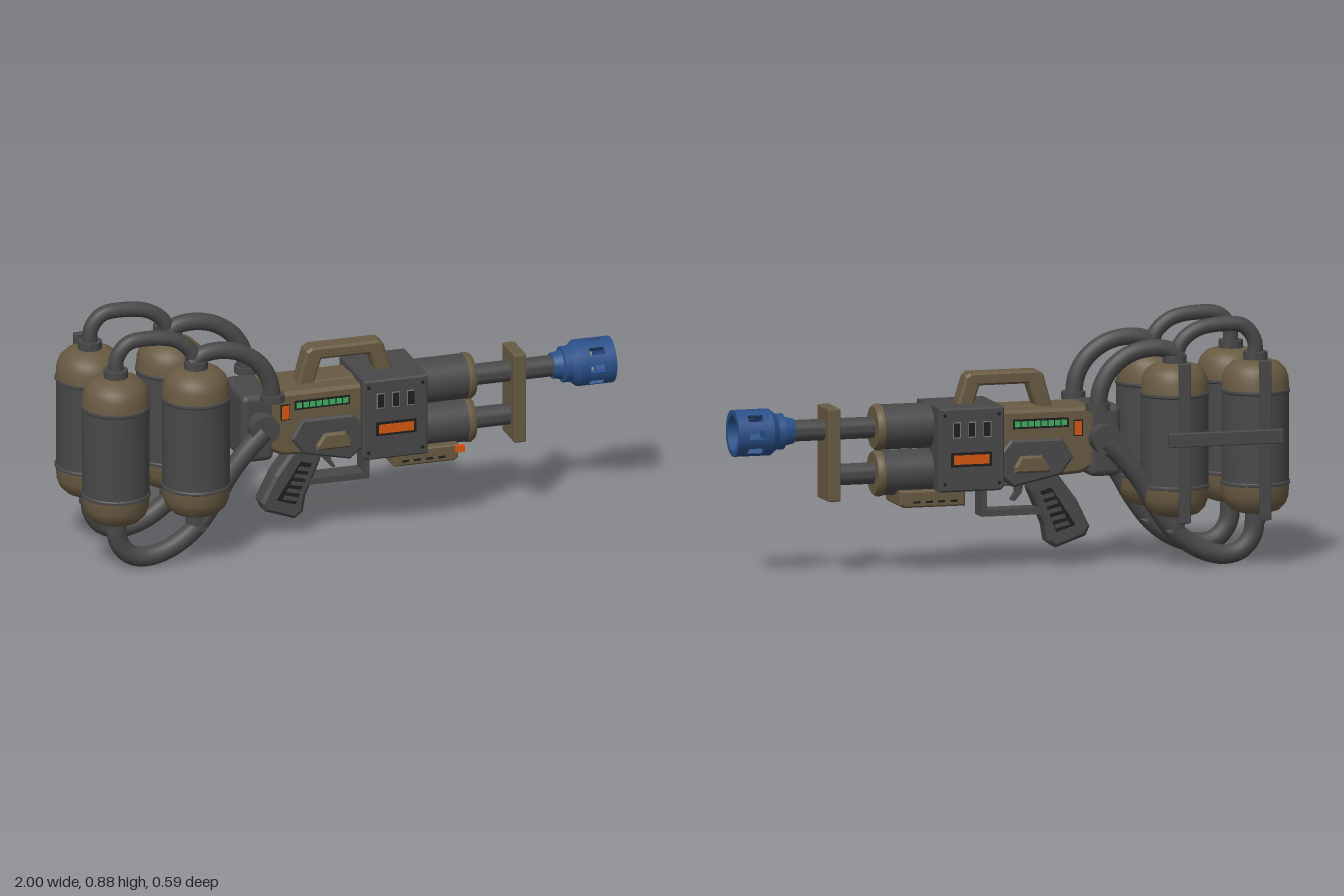
import * as THREE from 'three';
import { toCreasedNormals } from 'three/addons/utils/BufferGeometryUtils.js';
import { RoundedBoxGeometry } from 'three/addons/geometries/RoundedBoxGeometry.js';

const mat = (name, color) => Object.assign(new THREE.MeshStandardMaterial({ color }), { name });
const dark = mat('dark metal', 0x484848);
const brown = mat('brown casing', 0x685a42);
const blue = mat('blue nozzle', 0x2a5089);
const orange = mat('orange marking', 0xd4560f);
const green = mat('green light', 0x3fae63);
const black = mat('black recess', 0x1e1e1e);
const grey = mat('grey trim', 0x7a7a7a);

export function createModel() {
  const root = new THREE.Group();
  root.name = 'tankFedBlaster';
  const gun = new THREE.Group();
  gun.name = 'gun';
  gun.position.z = 0.02;
  root.add(gun);

  const add = (parent, name, geo, material, x = 0, y = 0, z = 0) => {
    const m = new THREE.Mesh(geo, material);
    m.name = name;
    m.position.set(x, y, z);
    parent.add(m);
    return m;
  };
  // Box given by its x and y limits, centre z and depth
  const box = (parent, name, material, x0, x1, y0, y1, z, d, round = 0) => add(parent, name,
    round ? new RoundedBoxGeometry(x1 - x0, y1 - y0, d, 2, round) : new THREE.BoxGeometry(x1 - x0, y1 - y0, d),
    material, (x0 + x1) / 2, (y0 + y1) / 2, z);
  // Side outline extruded symmetrically across z
  const slab = (name, material, pts, width, bevel = 0, hole = null) => {
    const v = (p) => p.map(([x, y]) => new THREE.Vector2(x, y));
    const shape = new THREE.Shape(v(pts));
    if (hole) shape.holes.push(new THREE.Path(v(hole)));
    const depth = width - 2 * bevel;
    const geo = new THREE.ExtrudeGeometry(shape, {
      depth, bevelEnabled: bevel > 0, bevelSize: bevel, bevelThickness: bevel, bevelOffset: -bevel, bevelSegments: 1,
    });
    return add(gun, name, geo.translate(0, 0, -depth / 2), material);
  };
  // Profile of [radius, height] points turned around an axis
  const turned = (parent, name, material, pts, x, y, z, alongX = false) => {
    const geo = new THREE.LatheGeometry(pts.map(([r, h]) => new THREE.Vector2(r, h)), 32);
    if (alongX) geo.rotateZ(-Math.PI / 2);
    return add(parent, name, toCreasedNormals(geo, 0.6), material, x, y, z);
  };
  const rod = (parent, name, material, r, h, x, y, z) =>
    turned(parent, name, material, [[0, -h / 2], [r, -h / 2], [r, h / 2], [0, h / 2]], x, y, z);
  const hose = (name, pts, r, z) => {
    const curve = new THREE.CatmullRomCurve3(pts.map(([x, y]) => new THREE.Vector3(x, y, z)));
    add(root, name, new THREE.TubeGeometry(curve, 48, r, 16), dark);
  };

  // Four tanks and their hoses, in a left and a right pair
  const cap = [[0, -0.109], [0.055, -0.107], [0.085, -0.097], [0.107, -0.075], [0.118, -0.045], [0.12, 0]];
  for (const z of [0.17, -0.13]) {
    for (const x of [-0.88, -0.583]) {
      turned(root, 'tankBottom', brown, cap, x, 0.29, z);
      turned(root, 'tankTop', brown, cap.map(([r, h]) => [r, -h]).reverse(), x, 0.62, z);
      turned(root, 'tankBody', dark, [[0.12, 0.285], [0.124, 0.287], [0.124, 0.295], [0.12, 0.299],
        [0.12, 0.611], [0.124, 0.615], [0.124, 0.623], [0.12, 0.625]], x, 0, z);
      rod(root, 'tankNeck', dark, 0.043, 0.04, x, 0.735, z);
      rod(root, 'tankOutlet', dark, 0.037, 0.05, x, 0.17, z);
    }
    hose('tankLinkHose', [[-0.88, 0.73], [-0.875, 0.8], [-0.835, 0.848], [-0.75, 0.857], [-0.66, 0.84],
      [-0.605, 0.795], [-0.585, 0.73]], 0.027, z);
    hose('upperHose', [[-0.6, 0.745], [-0.565, 0.772], [-0.5, 0.782], [-0.42, 0.765], [-0.35, 0.715],
      [-0.312, 0.65], [-0.3, 0.575]], 0.031, z);
    rod(root, 'upperHoseCollar', dark, 0.043, 0.026, -0.3, 0.582, z);
    hose('lowerHose', [[-0.88, 0.18], [-0.87, 0.105], [-0.83, 0.053], [-0.77, 0.036], [-0.68, 0.058],
      [-0.59, 0.12], [-0.52, 0.21], [-0.46, 0.31], [-0.4, 0.385], [-0.33, 0.455]], 0.035, z);
    hose('lowerHoseBranch', [[-0.583, 0.18], [-0.58, 0.15], [-0.565, 0.12]], 0.035, z);
    const fitting = rod(root, 'hoseFitting', dark, 0.052, 0.075, -0.33, 0.465, z + (z > 0 ? -0.017 : 0.017));
    fitting.rotation.x = Math.PI / 2;
  }

  // Carrying frame behind the rear tanks
  for (const x of [-0.88, -0.583]) {
    box(root, 'frameUpright', dark, x - 0.02, x + 0.02, 0.17, 0.74, -0.253, 0.024, 0.004);
    const bolt = rod(root, 'frameBolt', dark, 0.011, 0.016, x, 0.47, -0.285);
    bolt.rotation.x = Math.PI / 2;
  }
  box(root, 'frameCrossbar', dark, -0.94, -0.52, 0.445, 0.495, -0.268, 0.026, 0.004);

  // Receiver, rear block and front housing
  box(gun, 'rearBlock', dark, -0.4, -0.28, 0.325, 0.58, 0, 0.23, 0.025);
  slab('receiver', brown, [[-0.31, 0.37], [-0.25, 0.34], [0.06, 0.32], [0.06, 0.575], [-0.29, 0.575], [-0.31, 0.55]],
    0.22, 0.012);
  slab('frontHousing', dark, [[0.04, 0.31], [0.055, 0.297], [0.28, 0.297], [0.28, 0.595], [0.04, 0.595]], 0.28, 0.006);
  slab('sidePanel', dark, [[-0.22, 0.4], [-0.175, 0.34], [0, 0.302], [0.045, 0.34], [0.045, 0.43], [0.01, 0.47],
    [-0.18, 0.47]], 0.244, 0.008);
  slab('sideBoss', brown, [[-0.13, 0.352], [0, 0.352], [0, 0.375], [-0.022, 0.413], [-0.1, 0.413], [-0.13, 0.37]],
    0.274, 0.008);
  box(gun, 'lowerFrame', dark, -0.16, 0.06, 0.3, 0.345, 0, 0.13);

  // Carry handle
  slab('carryHandle', brown, [[-0.17, 0.565], [-0.135, 0.69], [-0.115, 0.703], [0.135, 0.703], [0.15, 0.69],
    [0.185, 0.58], [0.185, 0.565]], 0.073, 0.008,
  [[-0.105, 0.58], [0.125, 0.58], [0.1, 0.657], [-0.08, 0.657]]);

  // Grip, trigger and guard
  slab('grip', dark, [[-0.18, 0.34], [-0.085, 0.32], [-0.085, 0.28], [-0.14, 0.15], [-0.15, 0.09], [-0.18, 0.068],
    [-0.29, 0.107], [-0.305, 0.14], [-0.255, 0.24]], 0.088, 0.012);
  slab('gripPanel', black, [[-0.16, 0.285], [-0.12, 0.272], [-0.18, 0.125], [-0.25, 0.148]], 0.092);
  for (let i = 0; i < 5; i++) {
    const x = -0.2 + i * 0.014, y = 0.15 + i * 0.026;
    slab('gripRib', dark, [[x - 0.028, y], [x + 0.024, y - 0.012], [x + 0.028, y + 0.002], [x - 0.022, y + 0.014]], 0.097);
  }
  slab('trigger', dark, [[-0.07, 0.31], [-0.035, 0.31], [-0.04, 0.27], [-0.022, 0.24], [-0.035, 0.237], [-0.06, 0.265]], 0.03);
  slab('triggerGuard', dark, [[-0.13, 0.19], [0.095, 0.19], [0.095, 0.31], [0.075, 0.31], [0.075, 0.213], [-0.13, 0.213]],
    0.08);

  // Forward grip under the barrels
  slab('foreGrip', brown, [[0.17, 0.24], [0.395, 0.24], [0.41, 0.25], [0.41, 0.3], [0.17, 0.3]], 0.18, 0.006);
  box(gun, 'foreGripTab', orange, 0.395, 0.43, 0.272, 0.296, 0.09, 0.018);
  for (const s of [-1, 1]) for (let i = 0; i < 4; i++) {
    box(gun, 'foreGripSlot', black, 0.2 + i * 0.045, 0.225 + i * 0.045, 0.255, 0.263, s * 0.09, 0.004);
  }

  // Twin barrel jackets with brown end caps, and the barrels within
  for (const [y, end] of [[0.52, 0.8], [0.357, 0.64]]) {
    turned(gun, 'barrelJacket', dark, [[0.08, 0.27], [0.08, 0.46]], 0, y, 0, true);
    turned(gun, 'barrelCap', brown, [[0.08, 0.455], [0.083, 0.458], [0.083, 0.472], [0.075, 0.484], [0, 0.484]], 0, y, 0, true);
    turned(gun, 'barrel', dark, [[0.038, 0.47], [0.038, end]], 0, y, 0, true);
  }
  box(gun, 'barrelBrace', brown, 0.622, 0.668, 0.27, 0.602, 0, 0.14, 0.006);

  // Nozzle: stepped base, slotted wall and front rim
  turned(gun, 'nozzleBase', blue, [[0, 0.78], [0.045, 0.78], [0.052, 0.815], [0.064, 0.818], [0.064, 0.845], [0.083, 0.868],
    [0.083, 0.905], [0.064, 0.905], [0.064, 0.88], [0, 0.88]], 0, 0.52, 0, true);
  turned(gun, 'nozzleRim', blue, [[0.064, 0.96], [0.083, 0.96], [0.083, 1], [0.064, 1], [0.064, 0.96]], 0, 0.52, 0, true);
  for (let i = 0; i < 8; i++) {
    const a = i * Math.PI / 4 + 0.17, b = (i + 1) * Math.PI / 4 - 0.17;
    const sector = new THREE.Shape();
    sector.absarc(0, 0, 0.083, a, b, false);
    sector.absarc(0, 0, 0.064, b, a, true);
    const geo = new THREE.ExtrudeGeometry(sector, { depth: 0.055, bevelEnabled: false, curveSegments: 6 });
    add(gun, 'nozzleWall', geo.rotateY(Math.PI / 2), blue, 0.905, 0.52, 0);
  }

  // Markings, lights and vents on both sides
  for (const s of [-1, 1]) {
    const plate = (name, m, x0, x1, y0, y1, z) => box(gun, name, m, x0, x1, y0, y1, s * z, 0.006);
    plate('rearMarkFrame', black, -0.256, -0.222, 0.474, 0.532, 0.11);
    plate('rearMark', orange, -0.252, -0.226, 0.478, 0.528, 0.112);
    plate('lightStrip', black, -0.205, 0, 0.508, 0.542, 0.11);
    for (let i = 0; i < 8; i++) plate('light', green, -0.198 + i * 0.0245, -0.178 + i * 0.0245, 0.515, 0.535, 0.112);
    plate('frontMarkFrame', black, 0.088, 0.237, 0.386, 0.437, 0.14);
    plate('frontMark', orange, 0.098, 0.227, 0.395, 0.428, 0.143);
    for (let i = 0; i < 3; i++) {
      const x = 0.09 + i * 0.056;
      plate('ventFrame', grey, x, x + 0.028, 0.489, 0.546, 0.139);
      plate('vent', black, x + 0.004, x + 0.026, 0.493, 0.542, 0.141);
    }
    for (const [x, y] of [[0.06, 0.57], [0.26, 0.57], [0.06, 0.325], [0.26, 0.325]]) {
      rod(gun, 'rivet', black, 0.006, 0.006, x, y, s * 0.14).rotation.x = Math.PI / 2;
    }
  }
  return root;
}
